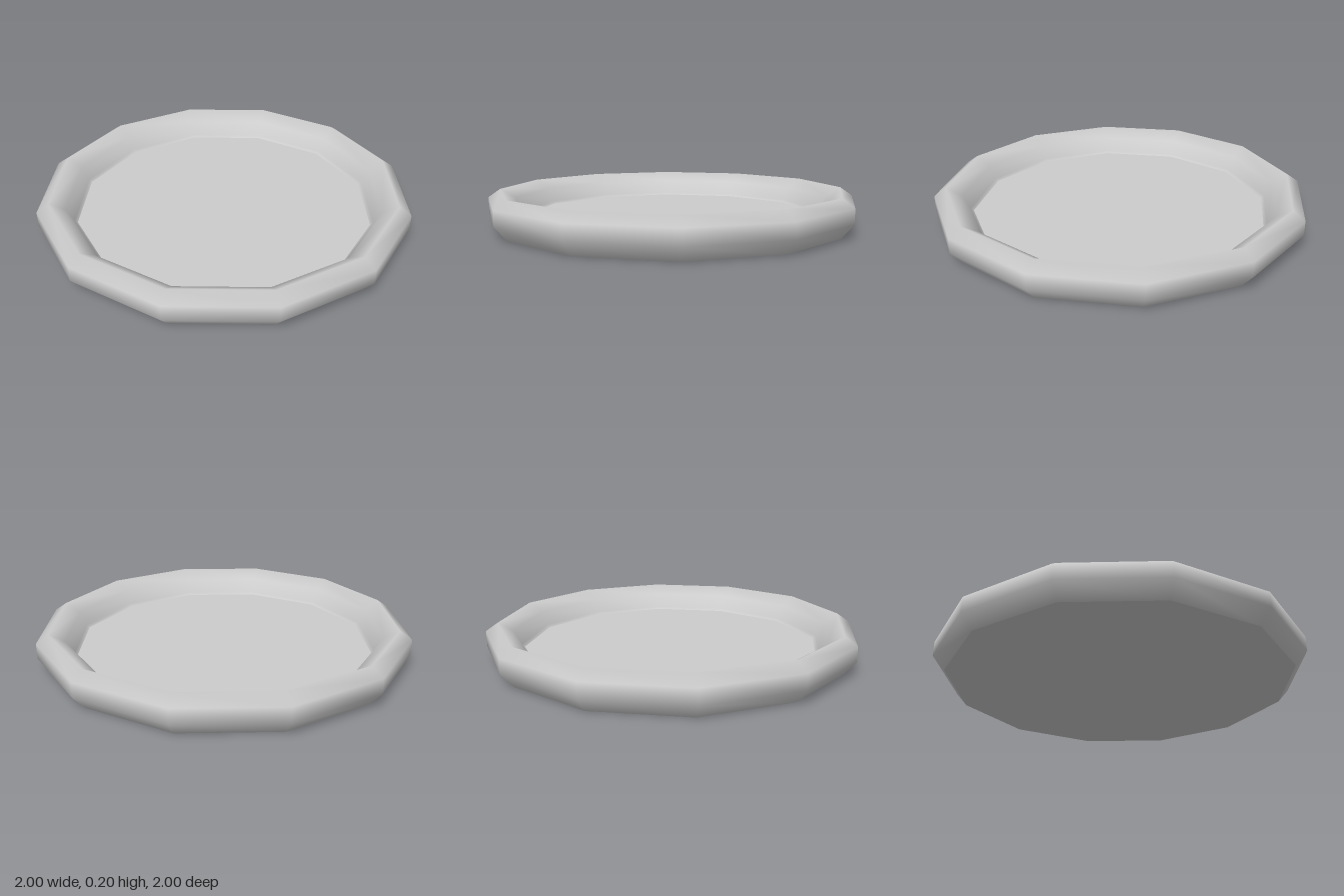
import * as THREE from 'three';

const SIDES = 12;

// Revolves [radius, height] pairs into a twelve-sided smooth ring
function ring(name, profile, material) {
  const points = profile.map(([r, y]) => new THREE.Vector2(r, y));
  const mesh = new THREE.Mesh(new THREE.LatheGeometry(points, SIDES), material);
  mesh.name = name;
  return mesh;
}

// Flat twelve-sided disc with corners on the axes, facing up or down
function disc(name, radius, y, facing, material) {
  const geometry = new THREE.CircleGeometry(radius, SIDES);
  geometry.rotateX(-facing * Math.PI / 2);
  const mesh = new THREE.Mesh(geometry, material);
  mesh.name = name;
  mesh.position.y = y;
  return mesh;
}

export function createModel() {
  const grey = new THREE.MeshStandardMaterial({ color: 0xcccccc });
  grey.name = 'lightGrey';

  const dish = new THREE.Group();
  dish.name = 'dish';

  // Bevelled outer edge, crest and sloping inner wall in one section
  dish.add(ring('rim', [
    [0.935, 0], [1, 0.075], [1, 0.155], [0.935, 0.2],
    [0.855, 0.15], [0.815, 0.075], [0.8, 0.062],
  ], grey));

  // Flat plate inside the rim and flat base below it
  dish.add(disc('floor', 0.8, 0.062, 1, grey));
  dish.add(disc('underside', 0.935, 0, -1, grey));

  return dish;
}
